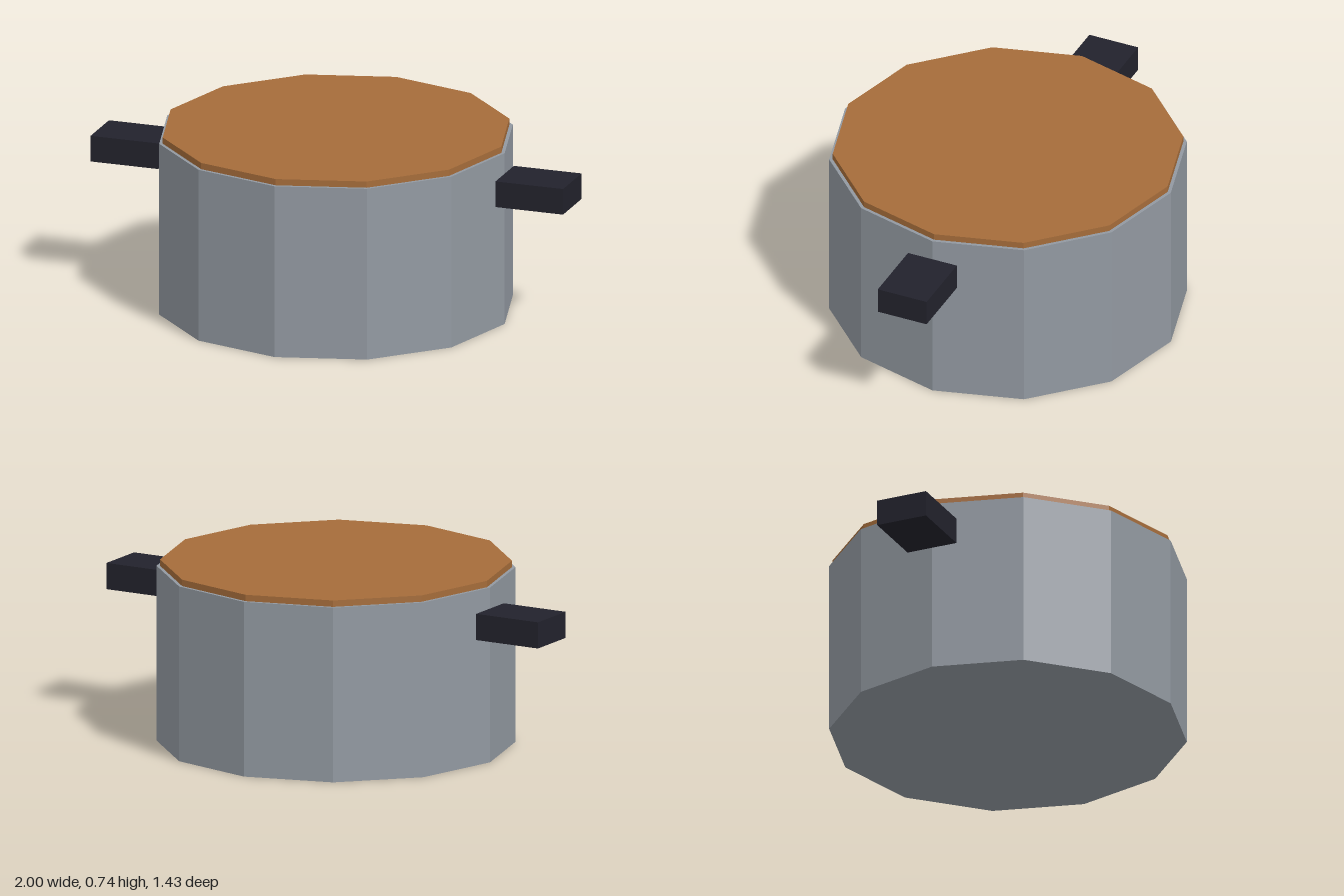
import * as THREE from 'three';

export function createModel() {
  const model = new THREE.Group();
  const material = (name, color) => {
    const m = new THREE.MeshStandardMaterial({ color, flatShading: true });
    m.name = name;
    return m;
  };
  const steel = material('steel grey', 0x9299a1);
  const brown = material('warm brown', 0xa56c3a);
  const dark = material('dark handle', 0x22222c);

  const add = (name, geometry, mat, x, y) => {
    const mesh = new THREE.Mesh(geometry, mat);
    mesh.name = name;
    mesh.position.set(x, y, 0);
    model.add(mesh);
  };

  // twelve-sided pot body with a corner on each axis
  add('potBody', new THREE.CylinderGeometry(0.714, 0.714, 0.714, 12), steel, 0, 0.357);

  // thin disc on top, slightly narrower than the body
  add('topDisc', new THREE.CylinderGeometry(0.7, 0.7, 0.035, 12), brown, 0, 0.7225);

  // block handles on both sides
  for (const [name, side] of [['leftHandle', 1], ['rightHandle', -1]]) {
    add(name, new THREE.BoxGeometry(0.286, 0.107, 0.214), dark, side * 0.857, 0.575);
  }
  return model;
}
